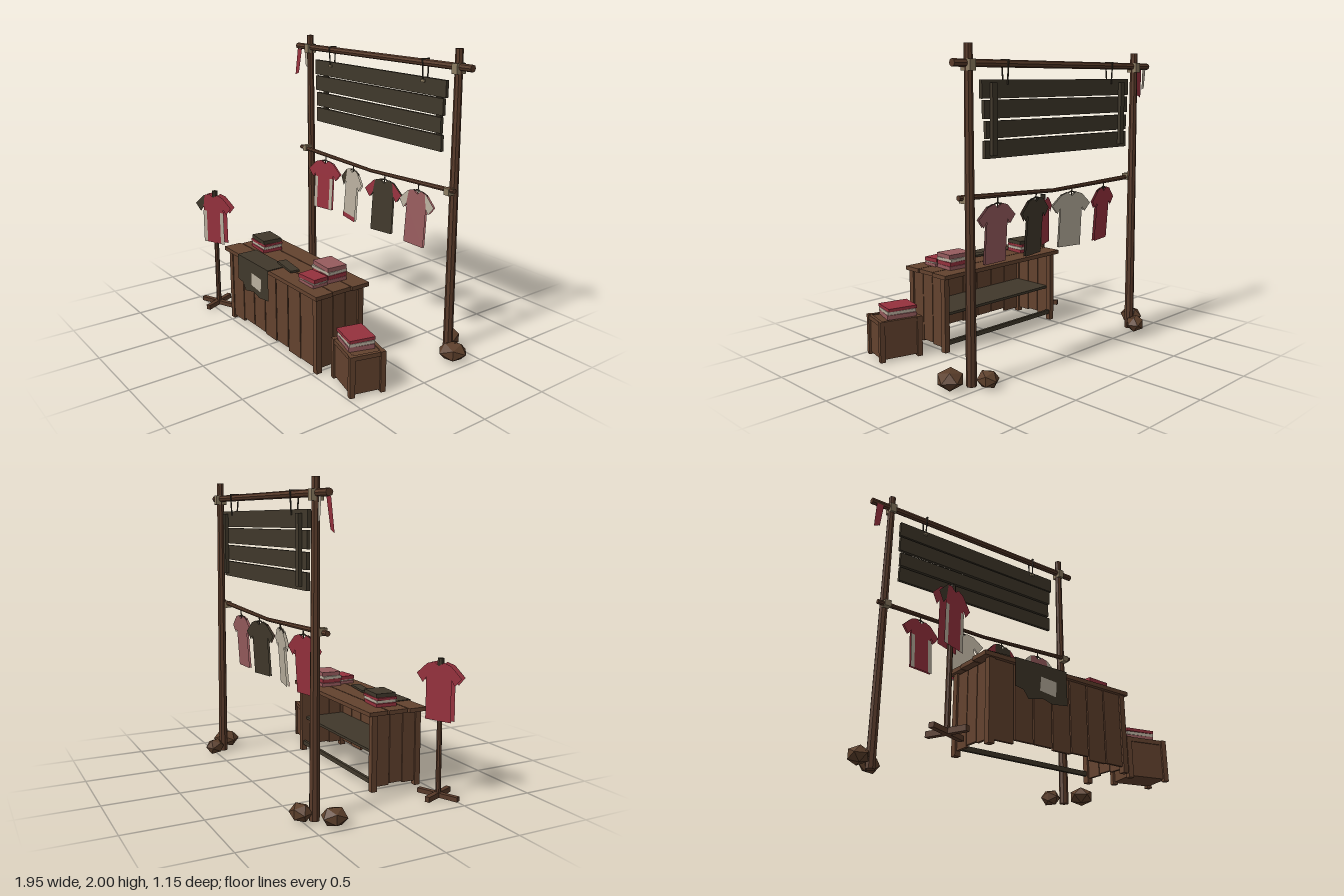
import * as THREE from 'three';

const mat = (name, color, side = THREE.FrontSide) => {
  const m = new THREE.MeshStandardMaterial({ color, side, flatShading: true });
  m.name = name;
  return m;
};

export function createModel() {
  const root = new THREE.Group();
  root.name = 'clothesStall';
  const D = THREE.DoubleSide;
  const wood = mat('brown wood', 0x63422e);
  const pole = mat('pole wood', 0x583a29);
  const dark = mat('dark olive', 0x40382b, D);
  const red = mat('red cloth', 0x95313d, D);
  const pale = mat('pale cloth', 0xb9af9e, D);
  const pink = mat('faded pink cloth', 0x965b5d, D);
  const rope = mat('rope', 0x8b7b60);
  const stone = mat('brown stone', 0x5c3f2b);

  const group = (name, x = 0, y = 0, z = 0, ry = 0, parent = root) => {
    const g = new THREE.Group();
    g.name = name;
    g.position.set(x, y, z);
    g.rotation.y = ry;
    parent.add(g);
    return g;
  };
  const add = (name, geo, m, x = 0, y = 0, z = 0, parent = root) => {
    const mesh = new THREE.Mesh(geo, m);
    mesh.name = name;
    mesh.position.set(x, y, z);
    parent.add(mesh);
    return mesh;
  };
  const box = (name, m, w, h, d, x, y, z, parent = root) =>
    add(name, new THREE.BoxGeometry(w, h, d), m, x, y, z, parent);
  // Box given by its limits on each axis
  const span = (name, m, x0, x1, y0, y1, z0, z1, parent = root) =>
    box(name, m, x1 - x0, y1 - y0, z1 - z0, (x0 + x1) / 2, (y0 + y1) / 2, (z0 + z1) / 2, parent);
  // Round bar between two points
  const bar = (name, m, a, b, r0, r1 = r0, sides = 8, parent = root) => {
    const p = new THREE.Vector3(...a), q = new THREE.Vector3(...b), dir = q.clone().sub(p);
    const mesh = add(name, new THREE.CylinderGeometry(r1, r0, dir.length(), sides), m, 0, 0, 0, parent);
    mesh.position.copy(p).add(q).multiplyScalar(0.5);
    mesh.quaternion.setFromUnitVectors(new THREE.Vector3(0, 1, 0), dir.normalize());
    return mesh;
  };
  const sheet = (name, m, pts, z, parent = root) =>
    add(name, new THREE.ShapeGeometry(new THREE.Shape(pts.map(p => new THREE.Vector2(...p)))), m, 0, 0, z, parent);

  // Frame: two posts, top beam, sagging clothes rail and rope bindings
  bar('leftPost', pole, [-0.79, 0, -0.425], [-0.79, 1.98, -0.415], 0.033, 0.025);
  bar('rightPost', pole, [0.775, 0, -0.425], [0.77, 2, -0.415], 0.033, 0.025);
  bar('topBeam', pole, [-0.95, 1.89, -0.413], [0.89, 1.89, -0.413], 0.023);
  bar('railLeft', pole, [-0.86, 1.11, -0.375], [0, 1.09, -0.375], 0.017, 0.013);
  bar('railRight', pole, [0, 1.09, -0.375], [0.82, 1.125, -0.375], 0.013, 0.017);
  for (const x of [-0.79, 0.77]) {
    box('topBinding', rope, 0.046, 0.065, 0.076, x, 1.88, -0.415);
    box('railBinding', rope, 0.046, 0.045, 0.05, x, 1.113, -0.377);
  }

  // Sign: four bare planks, back battens and ropes
  const planks = [[-0.71, 0.68, 1.692, 1.8, -0.004], [-0.705, 0.66, 1.575, 1.683, -0.002],
    [-0.695, 0.645, 1.458, 1.56, 0.001], [-0.695, 0.655, 1.34, 1.445, 0.003]];
  for (const [x0, x1, y0, y1, tilt] of planks)
    span('signPlank', dark, x0, x1, y0, y1, -0.428, -0.405).rotation.z = tilt;
  for (const x of [-0.62, 0.597]) span('signBatten', dark, x - 0.02, x + 0.02, 1.36, 1.78, -0.452, -0.428);
  for (const x of [-0.51, 0.48]) {
    for (const z of [-0.386, -0.444]) bar('signRope', dark, [x, 1.91, z], [x, 1.77, z < -0.42 ? -0.436 : -0.398], 0.005, 0.005, 5);
    box('ropeTop', dark, 0.01, 0.01, 0.064, x, 1.912, -0.415);
    box('ropeKnot', rope, 0.03, 0.016, 0.016, x, 1.775, -0.398);
  }

  // Cloth strips on the beam end
  sheet('redStrip', red, [[-0.92, 1.87], [-0.865, 1.87], [-0.89, 1.69], [-0.935, 1.67]], 0)
    .position.set(0, 0.125, -0.51);
  root.children.at(-1).rotation.x = -0.07;
  sheet('paleStrip', pale, [[-0.9, 1.87], [-0.865, 1.87], [-0.86, 1.73], [-0.885, 1.74]], -0.437);
  root.getObjectByName('redStrip').position.set(0, 0.005, -0.257);

  // Shirts: front and back sheets with coloured panels on the front
  const half = [[0.035, 0], [0.085, -0.015], [0.16, -0.085], [0.115, -0.14], [0.09, -0.105], [0.092, -0.372]];
  const outline = [[0, -0.025], ...half, ...half.slice().reverse().map(([x, y]) => [-x, y])];
  const shirt = (name, g, main, left, right, gap, extra) => {
    sheet(name + 'Back', main, outline, -gap, g);
    sheet(name + 'Front', main, outline, gap, g);
    [[1, left], [-1, right]].forEach(([s, m]) => {
      if (m !== main) sheet(name + 'Sleeve', m,
        [[0.075, -0.012], ...half.slice(1, 5)].map(([x, y]) => [x * s, y]), gap + 0.003, g);
      if (extra === 'sides') sheet(name + 'SidePanel', pale,
        [[0.06, -0.13], [0.091, -0.13], [0.092, -0.372], [0.06, -0.372]].map(([x, y]) => [x * s, y]), gap + 0.003, g);
    });
    if (extra === 'hem') sheet(name + 'Hem', red,
      [[-0.092, -0.34], [0.092, -0.34], [0.092, -0.373], [-0.092, -0.373]], gap + 0.003, g);
  };
  const hanging = [
    [-0.53, 0.2, red, red, red, 'sides'], [-0.19, -0.2, pale, pale, dark, 'hem'],
    [0.16, 0.2, dark, red, red, ''], [0.5, 0.03, pink, pale, pale, '']];
  for (const [x, ry, main, left, right, extra] of hanging) {
    const g = group('hangingShirt', x, 1.06, -0.367, ry);
    bar('hangerHook', dark, [0, -0.02, 0], [0, 0.045, -0.005], 0.004, 0.004, 5, g);
    for (const s of [-1, 1]) bar('hangerArm', dark, [0, 0.004, 0], [s * 0.085, -0.022, 0], 0.005, 0.005, 5, g);
    const cloth = group('shirt', 0, 0, 0, 0, g);
    cloth.rotation.x = -0.07;
    shirt('shirt', cloth, main, left, right, 0.007, extra);
  }

  // Display stand with a shirt
  const stand = group('displayStand', -0.8, 0, 0.445, 0.41);
  box('standFootLong', pole, 0.29, 0.03, 0.032, 0, 0.017, 0, stand);
  box('standFootShort', pole, 0.032, 0.034, 0.26, 0, 0.019, 0, stand);
  bar('standPole', pole, [0, 0.02, 0], [0, 0.86, 0], 0.018, 0.016, 8, stand);
  bar('standHead', dark, [0, 0.84, 0], [0, 0.895, 0], 0.022, 0.02, 8, stand);
  shirt('standShirt', group('standShirt', 0, 0.872, 0, 0, stand), red, red, dark, 0.022, 'sides');

  // Table: planked top, legs, boarded front and sides, shelf and rear rail
  [[-0.57, 0.545, 0.075, 0.21], [-0.575, 0.535, 0.216, 0.355], [-0.59, 0.542, 0.361, 0.49]].forEach(
    ([x0, x1, z0, z1]) => span('tableTopPlank', wood, x0, x1, 0.508, 0.535, z0, z1));
  for (const x of [-0.53, 0.505]) {
    for (const z of [0.125, 0.455]) box('tableLeg', wood, 0.04, 0.508, 0.04, x, 0.254, z);
    for (let i = 0; i < 3; i++)
      span('sideBoard', wood, x - 0.009, x + 0.009, 0.03 + 0.01 * (i % 2), 0.5, 0.147 + i * 0.098, 0.24 + i * 0.098);
  }
  [0.025, 0.05, 0.05, 0.04, 0.05, 0.03, 0.035].forEach((y, i) =>
    span('frontBoard', wood, -0.507 + i * 0.142, -0.374 + i * 0.142, y, 0.505, 0.452, 0.47));
  span('shelf', dark, -0.515, 0.49, 0.24, 0.258, 0.14, 0.45);
  span('rearRail', dark, -0.51, 0.485, 0.045, 0.075, 0.115, 0.135);

  // Draped cloth with a sewn patch
  span('clothTop', dark, -0.385, 0.008, 0.535, 0.54, 0.35, 0.501);
  sheet('clothDrop', dark, [[-0.385, 0.54], [0.008, 0.54], [0.01, 0.32], [-0.11, 0.305], [-0.18, 0.325],
    [-0.29, 0.3], [-0.325, 0.35], [-0.385, 0.36]], 0.501);
  sheet('clothPatch', pale, [[-0.195, 0.46], [-0.075, 0.45], [-0.083, 0.355], [-0.205, 0.37]], 0.505);
  box('slate', dark, 0.21, 0.014, 0.065, 0.035, 0.548, 0.355).rotation.y = -0.15;

  // Folded clothes
  const stack = (x, y, z, w, d, ry, layers) => {
    const g = group('foldedClothes', x, y, z, ry);
    let top = 0;
    layers.forEach(([m, h], i) => {
      const s = 1 - 0.03 * (i % 2);
      box('foldedGarment', m, w * s, h - 0.002, d * s, 0.004 * (i % 2), top + h / 2, 0, g).rotation.y = 0.04 * (i % 3 - 1);
      top += h;
    });
  };
  stack(-0.385, 0.535, 0.262, 0.185, 0.145, -0.05, [[red, 0.024], [pale, 0.02], [red, 0.018], [dark, 0.028]]);
  stack(0.325, 0.535, 0.23, 0.19, 0.145, -0.03, [[pink, 0.026], [red, 0.028], [pale, 0.022], [pink, 0.03]]);
  stack(0.345, 0.535, 0.372, 0.16, 0.11, 0.03, [[pink, 0.022], [pale, 0.008], [red, 0.028]]);
  stack(0.737, 0.262, 0.333, 0.2, 0.17, -0.27, [[pink, 0.032], [pale, 0.022], [red, 0.022]]);

  // Crate with corner posts and rim
  const crate = group('crate', 0.765, 0, 0.335, -0.25);
  box('crateBody', wood, 0.265, 0.245, 0.21, 0, 0.1375, 0, crate);
  for (const s of [-1, 1]) {
    for (const t of [-1, 1]) box('cratePost', wood, 0.034, 0.27, 0.034, s * 0.13, 0.135, t * 0.101, crate);
    box('crateRimLong', wood, 0.23, 0.028, 0.022, 0, 0.254, s * 0.102, crate);
    box('crateRimShort', wood, 0.022, 0.028, 0.17, s * 0.132, 0.254, 0, crate);
  }

  // Stones around the post feet
  [[-0.76, -0.5, 0.075, 0.06, 0.4], [-0.91, -0.355, 0.085, 0.062, 1.3],
    [0.72, -0.51, 0.072, 0.06, 2.1], [0.885, -0.36, 0.1, 0.065, 0.8]].forEach(([x, z, r, h, ry]) => {
    const m = add('footStone', new THREE.IcosahedronGeometry(1, 0), stone, x, h * 0.85, z);
    m.scale.set(r, h, r * 0.88);
    m.rotation.y = ry;
  });
  return root;
}
